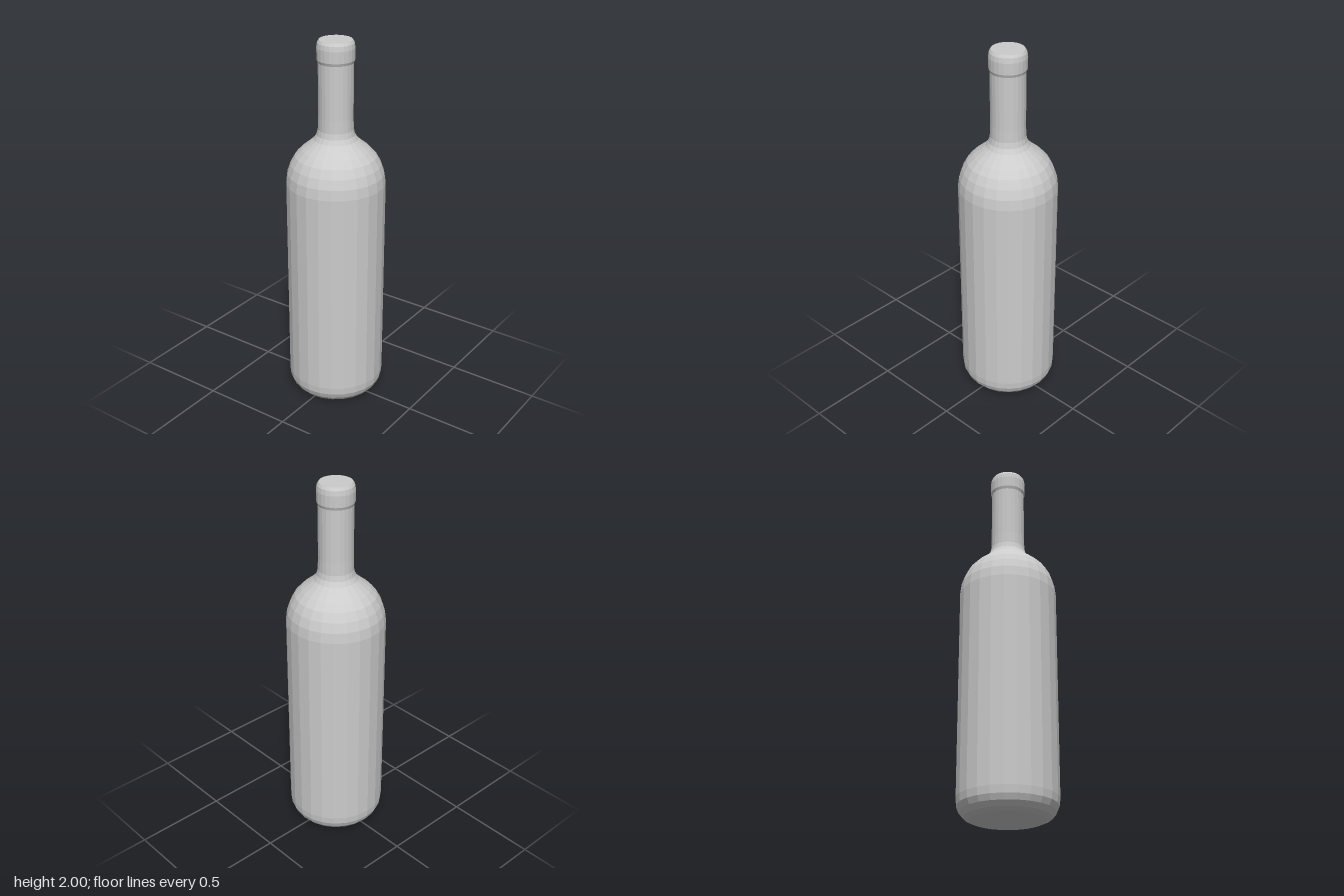
import * as THREE from 'three';

const SIDES = 24;
const glass = new THREE.MeshStandardMaterial({ color: 0xcccccc, flatShading: true });

// Turned part from [radius, height] pairs, listed bottom to top
function turned(name, profile, sides = SIDES) {
  const points = profile.map(([r, y]) => new THREE.Vector2(r, y));
  const mesh = new THREE.Mesh(new THREE.LatheGeometry(points, sides), glass);
  mesh.name = name;
  return mesh;
}

export function createModel() {
  const bottle = new THREE.Group();
  bottle.name = 'bottle';

  // Flat base with a rounded heel
  bottle.add(turned('base', [
    [0, 0], [0.19, 0], [0.222, 0.014], [0.245, 0.04], [0.258, 0.07], [0.262, 0.11],
  ]));

  // Straight body
  bottle.add(turned('body', [[0.262, 0.11], [0.262, 1.24]]));

  // Domed shoulder sweeping into the neck
  bottle.add(turned('shoulder', [
    [0.262, 1.24], [0.255, 1.295], [0.238, 1.345], [0.213, 1.39], [0.18, 1.425],
    [0.143, 1.455], [0.115, 1.48], [0.1, 1.505], [0.093, 1.535],
  ]));

  // Slim neck
  bottle.add(turned('neck', [[0.093, 1.535], [0.091, 1.6], [0.091, 1.885]]));

  // Lip ring with a closed, slightly bevelled top
  bottle.add(turned('lip', [
    [0.091, 1.885], [0.097, 1.9], [0.098, 1.96], [0.094, 1.985], [0.085, 2], [0, 2],
  ]));

  return bottle;
}
